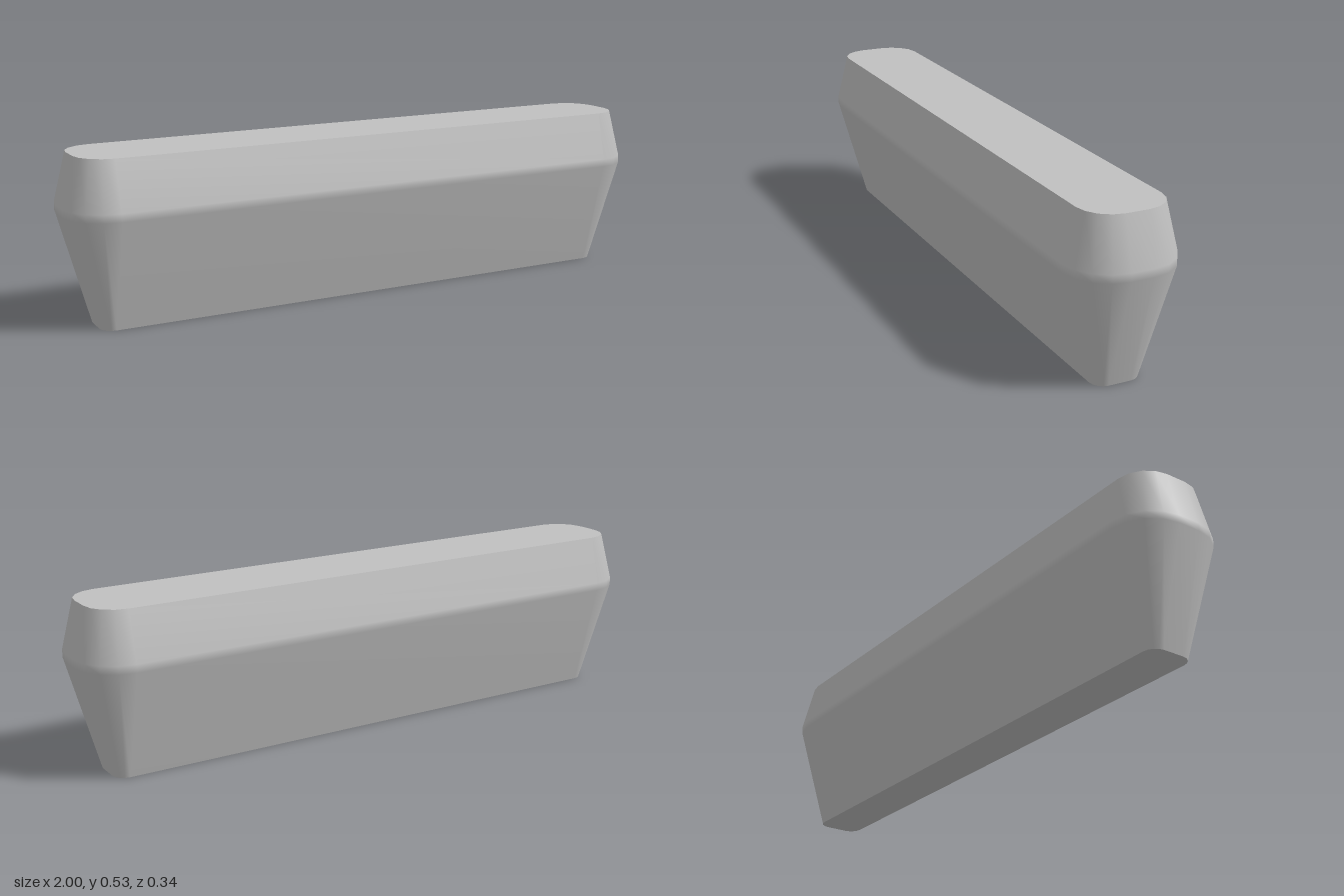
import * as THREE from 'three';

// Half length and half width of the rectangle whose corners are rounded
const CORE_X = 0.865, CORE_Z = 0.035;
const CORNER_STEPS = 4;
// Cross-sections from base to top: [height, corner radius]
const LEVELS = [[0, 0.04], [0.35, 0.135], [0.375, 0.135], [0.53, 0.097]];

// Rounded rectangle in the xz plane
function outline(radius, y) {
  const points = [];
  const corners = [[1, 1], [-1, 1], [-1, -1], [1, -1]];
  corners.forEach(([sx, sz], quarter) => {
    for (let i = 0; i <= CORNER_STEPS; i++) {
      const a = (quarter + i / CORNER_STEPS) * Math.PI / 2;
      points.push([sx * CORE_X + radius * Math.cos(a), y, sz * CORE_Z + radius * Math.sin(a)]);
    }
  });
  return points;
}

function makeGeometry(positions, indices) {
  const geometry = new THREE.BufferGeometry();
  geometry.setAttribute('position', new THREE.Float32BufferAttribute(positions.flat(), 3));
  geometry.setIndex(indices);
  geometry.computeVertexNormals();
  return geometry;
}

// Smooth skin joining the cross-sections
function wallGeometry() {
  const rings = LEVELS.map(([y, r]) => outline(r, y));
  const n = rings[0].length;
  const indices = [];
  for (let k = 0; k < rings.length - 1; k++) {
    for (let i = 0; i < n; i++) {
      const j = (i + 1) % n;
      const a = k * n + i, b = k * n + j;
      indices.push(a, a + n, b + n, a, b + n, b);
    }
  }
  return makeGeometry(rings.flat(), indices);
}

// Flat lid over one cross-section
function capGeometry([y, r], up) {
  const ring = outline(r, y);
  const indices = [];
  for (let i = 1; i < ring.length - 1; i++) {
    indices.push(0, ...(up ? [i + 1, i] : [i, i + 1]));
  }
  return makeGeometry(ring, indices);
}

export function createModel() {
  const group = new THREE.Group();
  group.name = 'taperedBar';
  const grey = new THREE.MeshStandardMaterial({ color: 0xc0c0c0 });
  grey.name = 'light grey';

  const add = (name, geometry) => {
    const mesh = new THREE.Mesh(geometry, grey);
    mesh.name = name;
    group.add(mesh);
  };
  add('sideWall', wallGeometry());
  add('topFace', capGeometry(LEVELS[LEVELS.length - 1], true));
  add('bottomFace', capGeometry(LEVELS[0], false));
  return group;
}
